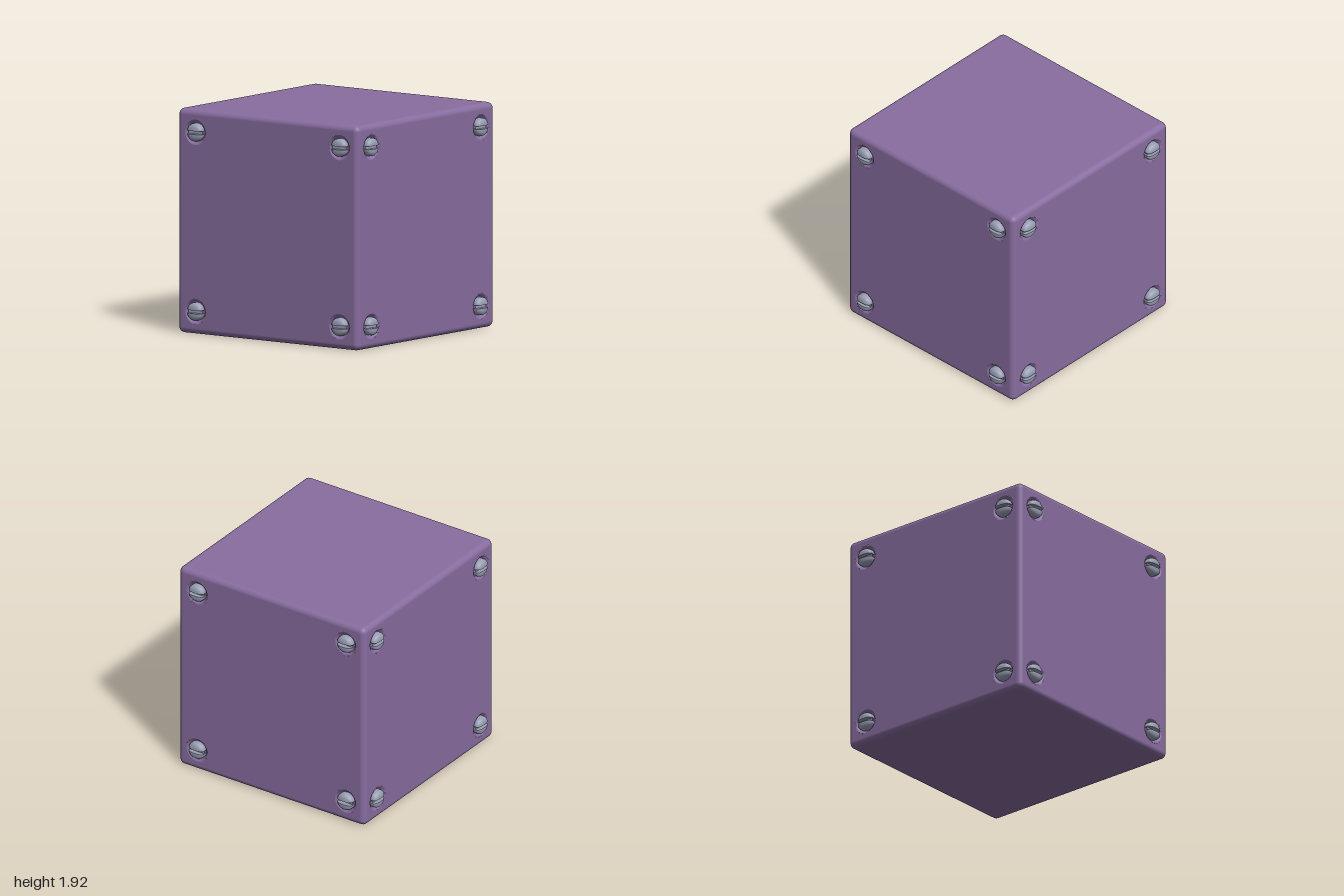
import * as THREE from 'three';
import { mergeGeometries } from 'three/addons/utils/BufferGeometryUtils.js';
import { RoundedBoxGeometry } from 'three/addons/geometries/RoundedBoxGeometry.js';

const HALF = 0.962;      // half the cube's edge
const EDGE = 0.05;       // edge rounding
const SCREW = 0.768;     // screw offset from a face's centre
const DIMPLE_R = 0.11;
const HEAD_R = 0.077;
const SLOT = 0.014;      // half the slot's width

const purple = new THREE.MeshStandardMaterial({ color: 0x886da0 });
const steel = new THREE.MeshStandardMaterial({ color: 0x9a9fb5 });
purple.name = 'purple paint';
steel.name = 'screw steel';

const v2 = (list) => list.map(([x, y]) => new THREE.Vector2(x, y));
const corners = [[-1, -1], [1, -1], [1, 1], [-1, 1]];

// Rounded cube whose four upright flat faces are left open for the drilled panels
function shellGeometry() {
  const box = new RoundedBoxGeometry(HALF * 2, HALF * 2, HALF * 2, 5, EDGE);
  const pos = box.attributes.position;
  const keep = [];
  for (let i = 0; i < pos.count; i += 3) {
    const tri = [i, i + 1, i + 2];
    const flat = ['getX', 'getZ'].some((get) => tri.every((k) => Math.abs(pos[get](k)) > HALF - 1e-5));
    if (!flat) keep.push(...tri);
  }
  box.setIndex(keep);
  box.clearGroups();
  return box;
}

// Flat square with a round hole for every dimple
function panelGeometry() {
  const a = HALF - EDGE;
  const shape = new THREE.Shape(v2(corners.map(([x, y]) => [x * a, y * a])));
  for (const [x, y] of corners) {
    const hole = new THREE.Path();
    hole.absarc(x * SCREW, y * SCREW, DIMPLE_R, 0, Math.PI * 2, true);
    shape.holes.push(hole);
  }
  return new THREE.ShapeGeometry(shape, 32);
}

// Softly rounded recess around a screw, opening towards +z
function dimpleGeometry() {
  const profile = v2([[DIMPLE_R, 0], [0.103, -0.003], [0.095, -0.011], [0.087, -0.021], [0.078, -0.027], [0, -0.028]]);
  return new THREE.LatheGeometry(profile, 32).rotateX(Math.PI / 2);
}

// Lower half of a domed screw head, with the flat wall of its slot
function halfHeadGeometry() {
  const profile = v2([[HEAD_R, -0.03], [HEAD_R, 0.004], [0.074, 0.014], [0.067, 0.023],
    [0.055, 0.031], [0.038, 0.036], [0.019, 0.038], [0, 0.038]]);
  const dome = new THREE.LatheGeometry(profile, 24, -Math.PI / 2, Math.PI);
  dome.scale(1, 1, (HEAD_R - SLOT) / HEAD_R).translate(0, 0, SLOT);
  const outline = [...profile, ...profile.slice(0, -1).reverse().map((p) => new THREE.Vector2(-p.x, p.y))];
  const wall = new THREE.ShapeGeometry(new THREE.Shape(outline));
  wall.rotateY(Math.PI).translate(0, 0, SLOT);
  return mergeGeometries([dome, wall]).rotateX(Math.PI / 2);
}

export function createModel() {
  const model = new THREE.Group();
  model.name = 'screwedCube';
  const add = (parent, name, geometry, material) => {
    const mesh = new THREE.Mesh(geometry, material);
    mesh.name = name;
    parent.add(mesh);
    return mesh;
  };

  add(model, 'cubeShell', shellGeometry(), purple).position.y = HALF;

  const panel = panelGeometry();
  const dimple = dimpleGeometry();
  const halfHead = halfHeadGeometry();
  const slotFloor = new THREE.CircleGeometry(HEAD_R, 32);

  // The same drilled panel and four screws on each upright side
  ['front', 'left', 'back', 'right'].forEach((sideName, i) => {
    const side = new THREE.Group();
    side.name = sideName + 'Side';
    side.position.y = HALF;
    side.rotation.y = i * Math.PI / 2;
    add(side, 'panel', panel, purple).position.z = HALF;
    for (const [x, y] of corners) {
      const screw = new THREE.Group();
      screw.name = 'screw';
      screw.position.set(x * SCREW, y * SCREW, HALF);
      add(screw, 'dimple', dimple, purple);
      add(screw, 'lowerHeadHalf', halfHead, steel);
      add(screw, 'upperHeadHalf', halfHead, steel).rotation.z = Math.PI;
      add(screw, 'slotFloor', slotFloor, steel).position.z = -0.003;
      side.add(screw);
    }
    model.add(side);
  });
  return model;
}
